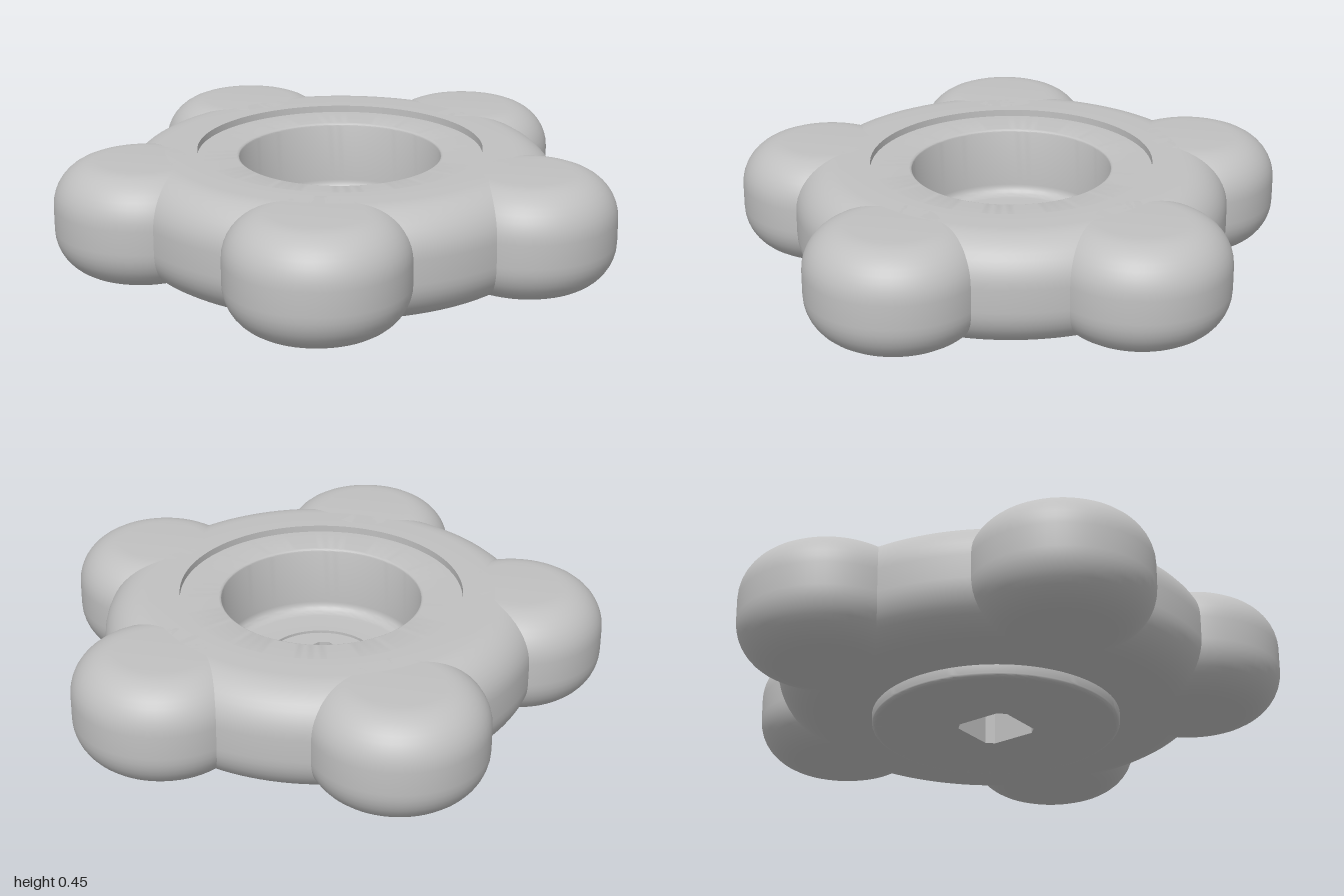
import * as THREE from 'three';
import { toCreasedNormals } from 'three/addons/utils/BufferGeometryUtils.js';

const CENTRE_Z = 0.068;
const BOTTOM = 0.045, TOP = 0.45;

// Quarter-round profile points about (x, y), from angle a to b in degrees
function arc(x, y, r, a, b, steps = 10) {
  const pts = [];
  for (let i = 0; i <= steps; i++) {
    const t = THREE.MathUtils.degToRad(a + (b - a) * i / steps);
    pts.push([x + r * Math.cos(t), y + r * Math.sin(t)]);
  }
  return pts;
}

function lathe(points, segments) {
  const geometry = new THREE.LatheGeometry(points.map(p => new THREE.Vector2(...p)), segments);
  return toCreasedNormals(geometry, 0.5);
}

export function createModel() {
  const model = new THREE.Group();
  model.name = 'handwheel';
  const grey = new THREE.MeshStandardMaterial({ color: 0xc0c0c0 });
  grey.name = 'plain grey';

  const add = (name, geometry) => {
    const mesh = new THREE.Mesh(geometry, grey);
    mesh.name = name;
    mesh.position.z = CENTRE_Z;
    model.add(mesh);
  };

  // Round body: lower boss, rounded rim, shallow recess and deep bore
  const edge = 0.16, radius = 0.79;
  add('body', lathe([
    [0.205, 0],
    ...arc(0.43, 0.018, 0.018, -90, 0, 6),
    [0.448, BOTTOM],
    ...arc(radius - edge, BOTTOM + edge, edge, -90, 0),
    ...arc(radius - edge, TOP - edge, edge, 0, 90),
    [0.515, TOP],
    [0.515, 0.425],
    ...arc(0.375, 0.413, 0.012, 90, 180, 6),
    ...arc(0.323, 0.2, 0.04, 0, -90, 8),
    [0.205, 0.16],
    [0.205, 0.15],
  ], 128));

  // Hub floor with a square, corner-cut spindle hole
  const disc = new THREE.Shape().absarc(0, 0, 0.205, 0, Math.PI * 2, false);
  const h = 0.108, c = h - 0.026;
  const corners = [[h, -c], [h, c], [c, h], [-c, h], [-h, c], [-h, -c], [-c, -h], [c, -h]];
  disc.holes.push(new THREE.Path(corners.map(p => new THREE.Vector2(...p))));
  const hub = new THREE.ExtrudeGeometry(disc, { depth: 0.15, bevelEnabled: false, curveSegments: 128 });
  hub.rotateX(-Math.PI / 2);
  add('hub', hub);

  // Five rounded grip lobes, held clear of the recess
  const lobeRadius = 0.32, reach = 0.715, clear = 0.535;
  const profile = [
    [0, BOTTOM],
    ...arc(lobeRadius - edge, BOTTOM + edge, edge, -90, 0),
    ...arc(lobeRadius - edge, TOP - edge, edge, 0, 90),
    [0, TOP],
  ];
  for (let i = 0; i < 5; i++) {
    const angle = i * Math.PI * 2 / 5;
    const lobe = lathe(profile, 64);
    lobe.translate(0, 0, -reach);
    const pos = lobe.attributes.position;
    for (let j = 0; j < pos.count; j++) {
      const x = pos.getX(j), z = pos.getZ(j), r = Math.hypot(x, z);
      if (r < clear) {
        pos.setX(j, x * clear / r);
        pos.setZ(j, z * clear / r);
      }
    }
    lobe.rotateY(-angle);
    add('gripLobe' + (i + 1), lobe);
  }
  return model;
}
